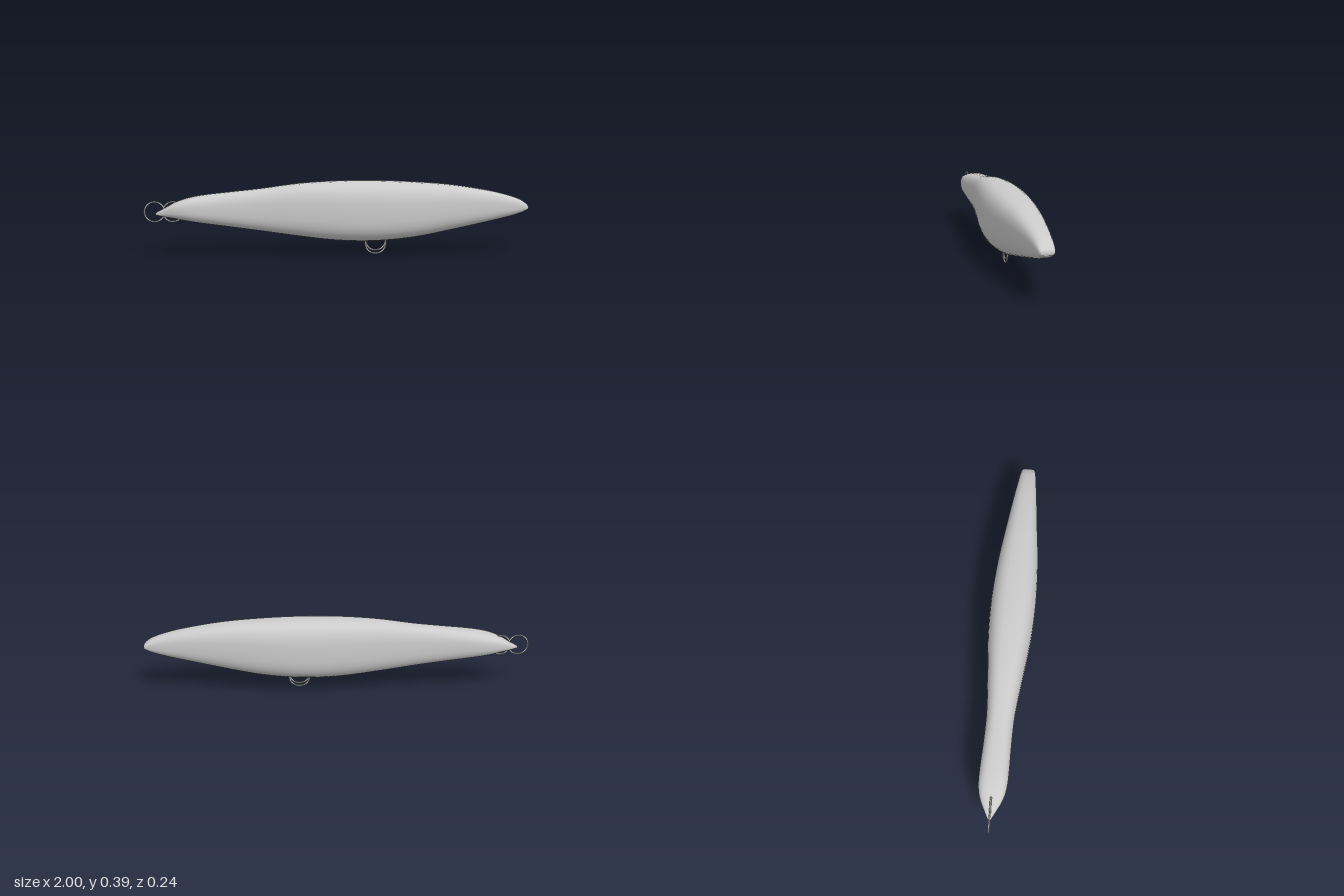
import * as THREE from 'three';

// Body stations: x, bottom y, top y, half width
const STATIONS = [
  [-0.94, 0.215, 0.226, 0.004], [-0.9, 0.207, 0.247, 0.026], [-0.84, 0.198, 0.28, 0.056],
  [-0.78, 0.186, 0.301, 0.071], [-0.7, 0.173, 0.317, 0.074], [-0.55, 0.152, 0.334, 0.071],
  [-0.4, 0.131, 0.35, 0.073], [-0.2, 0.102, 0.376, 0.092], [0, 0.079, 0.388, 0.112],
  [0.2, 0.075, 0.389, 0.118], [0.4, 0.093, 0.381, 0.109], [0.6, 0.131, 0.365, 0.088],
  [0.8, 0.174, 0.333, 0.064], [0.9, 0.197, 0.308, 0.051], [0.96, 0.215, 0.286, 0.043],
  [0.99, 0.229, 0.266, 0.036], [1, 0.236, 0.255, 0.028],
];
const SIDES = 32, STEPS = 4;

// Catmull-Rom blend of one value between four stations
const blend = (a, b, c, d, t) =>
  0.5 * (2 * b + (c - a) * t + (2 * a - 5 * b + 4 * c - d) * t * t + (3 * b - a - 3 * c + d) * t ** 3);

function sections() {
  const last = STATIONS.length - 1, rows = [];
  // Slopes are scaled to each segment's length so uneven spacing stays smooth
  for (let i = 0; i < last; i++) {
    const p0 = STATIONS[Math.max(i - 1, 0)], p1 = STATIONS[i];
    const p2 = STATIONS[i + 1], p3 = STATIONS[Math.min(i + 2, last)];
    const len = p2[0] - p1[0];
    for (let s = 0; s < STEPS; s++) {
      const t = s / STEPS;
      rows.push(p1.map((v, k) => {
        if (k === 0) return v + len * t;
        const m1 = (p2[k] - p0[k]) / (p2[0] - p0[0]) * len;
        const m2 = (p3[k] - v) / (p3[0] - p1[0]) * len;
        return blend(p2[k] - 2 * m1, v, p2[k], v + 2 * m2, t);
      }));
    }
  }
  rows.push(STATIONS[last]);
  return rows;
}

// Loft of rounded-rectangle (superellipse) sections with closed ends
function bodyGeometry() {
  const rows = sections(), pos = [], index = [];
  const soft = (v) => Math.sign(v) * Math.abs(v) ** (2 / 2.8);
  for (const [x, lo, hi, half] of rows) {
    for (let j = 0; j < SIDES; j++) {
      const a = (j / SIDES) * Math.PI * 2;
      pos.push(x, (lo + hi) / 2 + soft(Math.sin(a)) * (hi - lo) / 2, soft(Math.cos(a)) * half);
    }
  }
  for (let i = 0; i < rows.length - 1; i++) {
    for (let j = 0; j < SIDES; j++) {
      const k = (j + 1) % SIDES, a = i * SIDES + j, b = i * SIDES + k;
      index.push(a, a + SIDES, b, b, a + SIDES, b + SIDES);
    }
  }
  for (const end of [0, rows.length - 1]) {
    const [x, lo, hi] = rows[end], centre = pos.length / 3, base = end * SIDES;
    pos.push(x, (lo + hi) / 2, 0);
    for (let j = 0; j < SIDES; j++) {
      const a = base + j, b = base + (j + 1) % SIDES;
      if (end === 0) index.push(centre, a, b);
      else index.push(centre, b, a);
    }
  }
  const g = new THREE.BufferGeometry();
  g.setAttribute('position', new THREE.Float32BufferAttribute(pos, 3));
  g.setIndex(index);
  g.computeVertexNormals();
  return g;
}

export function createModel() {
  const model = new THREE.Group();
  model.name = 'fishingLure';
  const material = new THREE.MeshStandardMaterial({ color: 0xcccccc });

  const body = new THREE.Mesh(bodyGeometry(), material);
  body.name = 'body';
  model.add(body);

  // Thin wire rings at the tail and under the belly
  function ring(name, x, y, z, tiltX, tiltY, radius) {
    const mesh = new THREE.Mesh(new THREE.TorusGeometry(radius, 0.0045, 8, 40), material);
    mesh.name = name;
    mesh.position.set(x, y, z);
    mesh.rotation.set(tiltX, tiltY, 0);
    model.add(mesh);
  }
  ring('tailSplitRing', -0.944, 0.232, 0.003, 0, 0.03, 0.0515);
  ring('tailEyeRing', -0.85, 0.232, 0, 0, 0.03, 0.0515);
  ring('bellySplitRing', 0.2, 0.061, 0.01, -0.05, 0, 0.0535);
  ring('bellyEyeRing', 0.2, 0.076, 0.009, -0.05, 0, 0.0515);

  return model;
}
